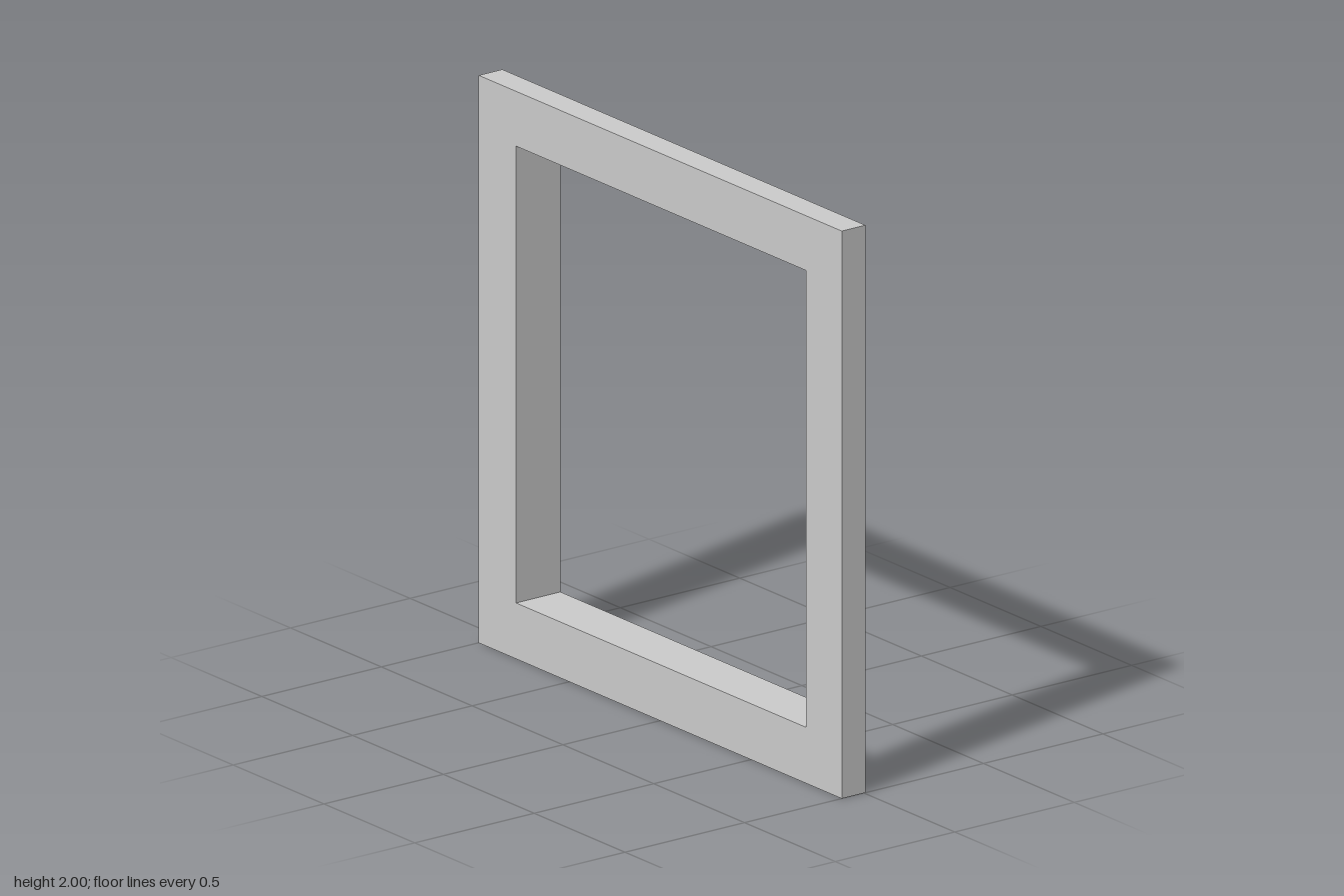
import * as THREE from 'three';

// Moulding cross-section: depth along x, half-size of the square ring there,
// and whether the point lies on the inner opening
const PROFILE = [
  { x: -0.093, half: 1 },
  { x: 0.006, half: 1 },
  { x: 0.093, half: 0.855 },
  { x: 0.093, halfZ: 0.799, halfY: 0.805, inner: true },
  { x: -0.093, halfZ: 0.799, halfY: 0.805, inner: true },
];

// Corners counter-clockwise as seen from +x: [z sign, y sign]
const CORNERS = [[1, -1], [-1, -1], [-1, 1], [1, 1]];
const NAMES = ['bottomRail', 'backStile', 'topRail', 'frontStile'];

function ringPoint(p, [sz, sy]) {
  // the opening sits very slightly off centre
  const dz = p.inner ? 0.005 : 0, dy = p.inner ? 0.002 : 0;
  return [p.x, 1 + dy + sy * (p.halfY ?? p.half), dz + sz * (p.halfZ ?? p.half)];
}

// One mitred bar: the cross-section swept between two neighbouring corners
function mitredBar(from, to) {
  const positions = [];
  PROFILE.forEach((p, i) => {
    const next = PROFILE[(i + 1) % PROFILE.length];
    const a = ringPoint(p, from), b = ringPoint(p, to);
    const c = ringPoint(next, to), d = ringPoint(next, from);
    positions.push(...a, ...b, ...c, ...a, ...c, ...d);
  });
  const geometry = new THREE.BufferGeometry();
  geometry.setAttribute('position', new THREE.Float32BufferAttribute(positions, 3));
  geometry.computeVertexNormals();
  return geometry;
}

export function createModel() {
  const group = new THREE.Group();
  group.name = 'frame';
  const material = new THREE.MeshStandardMaterial({ color: 0xcccccc, flatShading: true });

  // Four bars meeting at mitred corners
  CORNERS.forEach((corner, k) => {
    const bar = new THREE.Mesh(mitredBar(corner, CORNERS[(k + 1) % 4]), material);
    bar.name = NAMES[k];
    group.add(bar);
  });
  return group;
}
